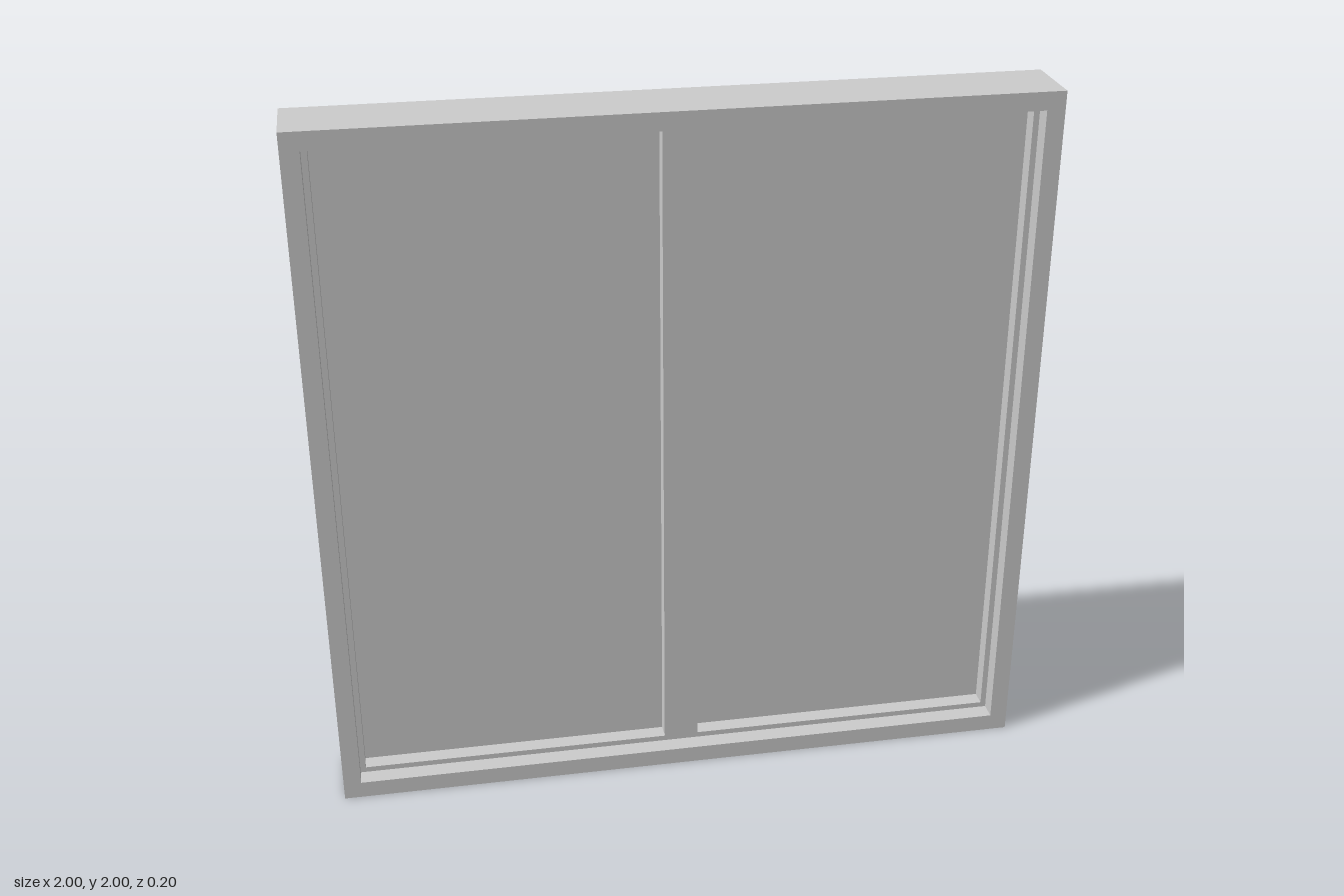
import * as THREE from 'three';

const material = new THREE.MeshStandardMaterial({ color: 0xcccccc });

// Adds a closed rectangle to a shape or path
function rect(path, x0, y0, x1, y1) {
  path.moveTo(x0, y0);
  path.lineTo(x1, y0);
  path.lineTo(x1, y1);
  path.lineTo(x0, y1);
  path.closePath();
  return path;
}

// Rectangular frame with rectangular openings, centred on z = 0
function frame(name, outer, openings, depth) {
  const shape = rect(new THREE.Shape(), ...outer);
  for (const o of openings) shape.holes.push(rect(new THREE.Path(), ...o));
  const geometry = new THREE.ExtrudeGeometry(shape, { depth, bevelEnabled: false });
  geometry.translate(0, 0, -depth / 2);
  const mesh = new THREE.Mesh(geometry, material);
  mesh.name = name;
  return mesh;
}

export function createModel() {
  const group = new THREE.Group();
  group.name = 'slidingWindow';

  const inner = 0.95;      // half width of the outer frame's opening
  const paneEdge = 0.934;  // outer edge of the glazed openings
  const mullion = 0.05;    // half width of the centre post
  const low = 1 - paneEdge, high = 1 + paneEdge;

  // Outer casing
  group.add(frame('outerFrame', [-1, 0, 1, 2],
    [[-inner, 1 - inner, inner, 1 + inner]], 0.2));

  // Recessed inner frame with centre post
  group.add(frame('innerFrame', [-inner, 1 - inner, inner, 1 + inner], [
    [-paneEdge, low, -mullion, high],
    [mullion, low, paneEdge, high],
  ], 0.1));

  // Glass panes
  for (const side of [-1, 1]) {
    const pane = new THREE.Mesh(
      new THREE.BoxGeometry(paneEdge - mullion, high - low, 0.01), material);
    pane.position.set(side * (paneEdge + mullion) / 2, 1, 0);
    pane.name = side > 0 ? 'leftPane' : 'rightPane';
    group.add(pane);
  }
  return group;
}
